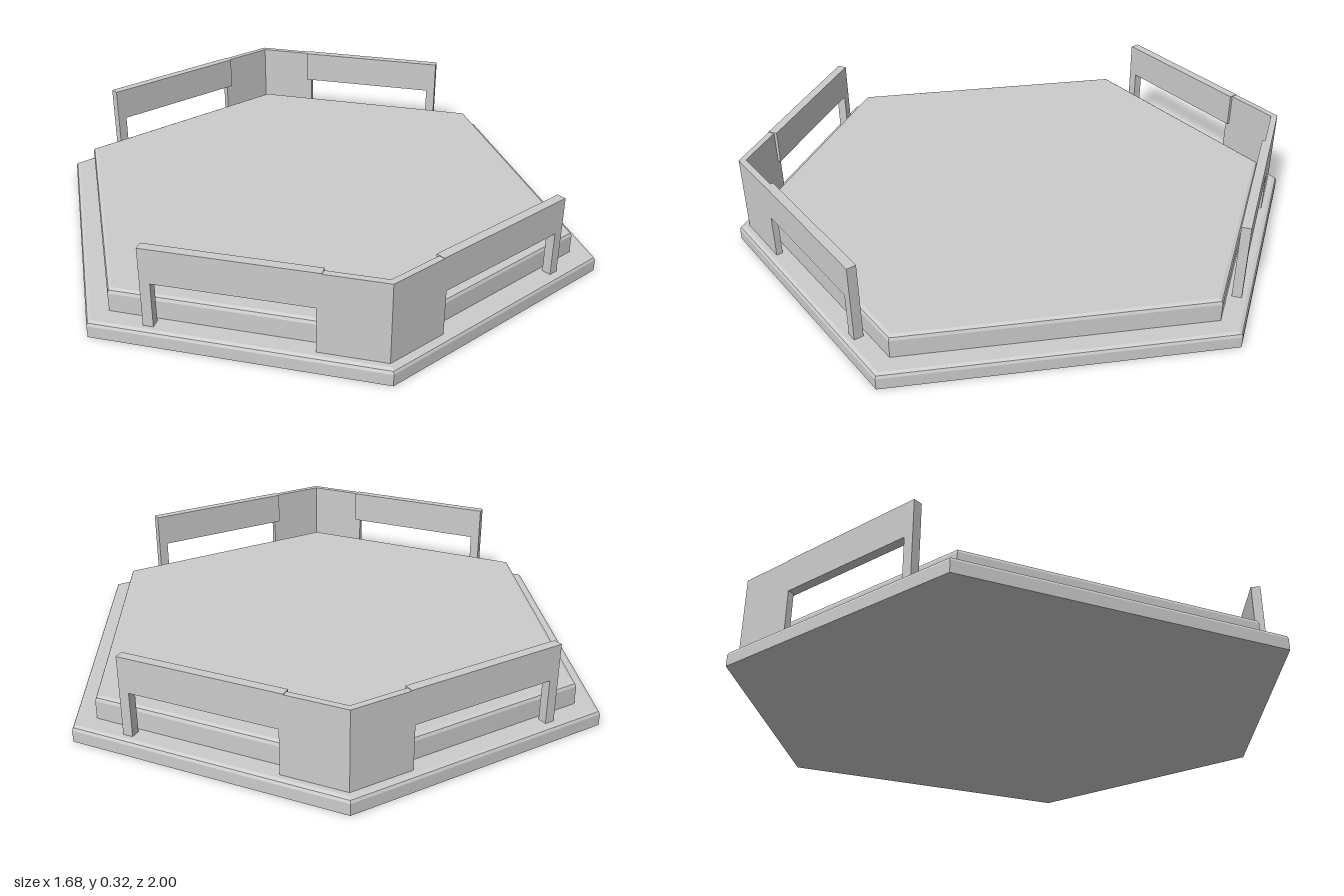
import * as THREE from 'three';

const material = new THREE.MeshStandardMaterial({ color: 0xcccccc, flatShading: true });
const SLOPE = 0.517; // z drop per x along the slanted edges
const APEX = 0.965; // outer tip of the guard walls
const LEN = Math.hypot(1, SLOPE);

function addMesh(parent, name, geometry) {
  const mesh = new THREE.Mesh(geometry, material);
  mesh.name = name;
  parent.add(mesh);
}

// Hexagonal slab lofted through [y, inset] rings, closed at both ends
function hexSlab(cornerX, cornerZ, tipZ, rings) {
  const corners = [[0, tipZ], [cornerX, cornerZ], [cornerX, -cornerZ], [0, -tipZ], [-cornerX, -cornerZ], [-cornerX, cornerZ]];
  const loops = rings.map(([y, inset]) => {
    const s = 1 - inset / cornerX;
    return corners.map(([x, z]) => [x * s, y, z * s]);
  });
  const bottom = loops[0], top = loops[loops.length - 1];
  const p = [];
  for (let i = 0; i < 6; i++) {
    const j = (i + 1) % 6;
    for (let k = 0; k < loops.length - 1; k++) {
      const a = loops[k], b = loops[k + 1];
      p.push(...a[i], ...a[j], ...b[j], ...a[i], ...b[j], ...b[i]);
    }
    p.push(0, top[0][1], 0, ...top[i], ...top[j]);
    p.push(0, bottom[0][1], 0, ...bottom[j], ...bottom[i]);
  }
  const g = new THREE.BufferGeometry();
  g.setAttribute('position', new THREE.Float32BufferAttribute(p, 3));
  g.computeVertexNormals();
  return g;
}

// Upright prism over a plan outline of [x, z] points
function prism(points, y0, y1) {
  const shape = new THREE.Shape(points.map(([x, z]) => new THREE.Vector2(x, z)));
  return new THREE.ExtrudeGeometry(shape, { depth: y1 - y0, bevelEnabled: false })
    .rotateX(Math.PI / 2).translate(0, y1, 0);
}

// Plan points on the wall line, t inside its outer face
const onWall = (x, t) => [x - t * SLOPE / LEN, APEX - SLOPE * x - t / LEN];
const strip = (x0, x1, t, side) =>
  [onWall(x0, 0), onWall(x1, 0), onWall(x1, t), onWall(x0, t)].map(([x, z]) => [side * x, z]);

function guard() {
  const group = new THREE.Group();
  // Folded centre panel with a mitred corner
  const t = 0.022, half = [onWall(0.195, 0), onWall(0.195, t)];
  addMesh(group, 'cornerPanel', prism([
    [0, APEX], half[0], half[1], [0, APEX - t * LEN],
    [-half[1][0], half[1][1]], [-half[0][0], half[0][1]],
  ], 0.048, 0.323));
  // Rail and end post on each wing
  for (const side of [1, -1]) {
    const word = side > 0 ? 'left' : 'right';
    addMesh(group, word + 'Rail', prism(strip(0.18, 0.673, 0.032, side), 0.207, 0.325));
    addMesh(group, word + 'Post', prism(strip(0.643, 0.673, 0.032, side), 0.048, 0.207));
  }
  return group;
}

export function createModel() {
  const model = new THREE.Group();

  // Base and raised deck with softened top edges
  addMesh(model, 'base', hexSlab(0.84, 0.563, 1,
    [[0, 0], [0.04, 0], [0.049, 0.004], [0.054, 0.014]]));
  addMesh(model, 'deck', hexSlab(0.768, 0.515, 0.915,
    [[0.05, 0], [0.117, 0], [0.127, 0.004], [0.132, 0.014]]));

  // Matching guards at the front and back tips
  const front = guard();
  front.name = 'frontGuard';
  const back = guard();
  back.name = 'backGuard';
  back.rotation.y = Math.PI;
  model.add(front, back);
  return model;
}
